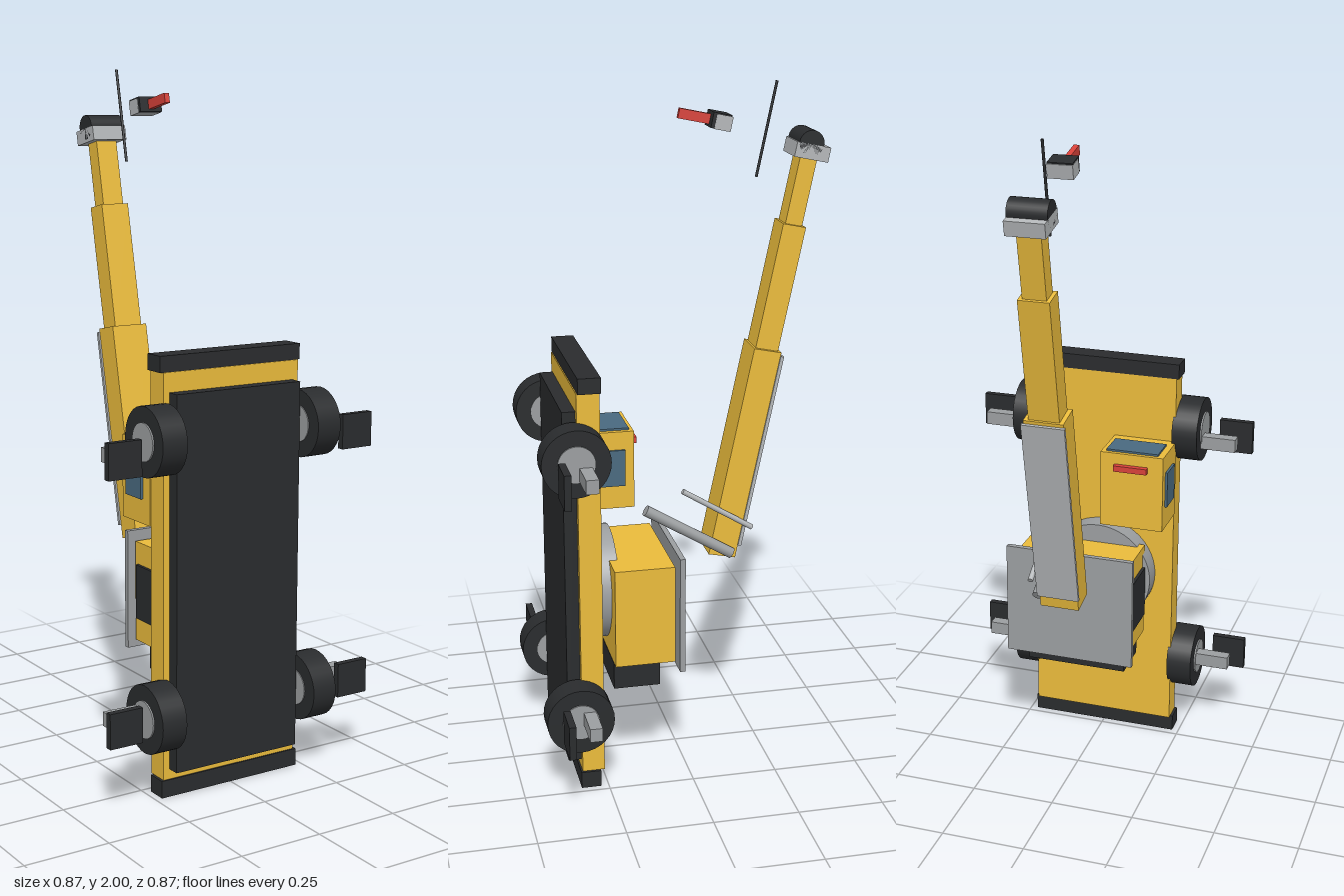
import * as THREE from 'three';

const mat = (color) => new THREE.MeshStandardMaterial({ color });
const yellow = mat(0xebbc3c), black = mat(0x2a2c2e), grey = mat(0x9c9fa1);
const steel = mat(0xb4b7b9), glass = mat(0x4a6a80), red = mat(0xd8423a);
const TILT = -0.208;

function add(parent, name, geometry, material, x = 0, y = 0, z = 0) {
  const mesh = new THREE.Mesh(geometry, material);
  mesh.name = name;
  mesh.position.set(x, y, z);
  parent.add(mesh);
  return mesh;
}

// box given by its limits on each axis
function box(parent, name, material, [x0, x1], [y0, y1], [z0, z1]) {
  return add(parent, name, new THREE.BoxGeometry(x1 - x0, y1 - y0, z1 - z0), material,
    (x0 + x1) / 2, (y0 + y1) / 2, (z0 + z1) / 2);
}

// cylinder lying along x
function drum(parent, name, material, r, length, x, y, z) {
  const g = new THREE.CylinderGeometry(r, r, length, 32).rotateZ(Math.PI / 2);
  return add(parent, name, g, material, x, y, z);
}

// straight round rod between two points
function rod(parent, name, material, r, a, b) {
  const from = new THREE.Vector3(...a), to = new THREE.Vector3(...b);
  const dir = to.clone().sub(from);
  const mesh = add(parent, name, new THREE.CylinderGeometry(r, r, dir.length(), 20), material);
  mesh.position.copy(from).add(to).multiplyScalar(0.5);
  mesh.quaternion.setFromUnitVectors(new THREE.Vector3(0, 1, 0), dir.normalize());
  return mesh;
}

// group leaning with the boom
function tilted(parent, name, y, z) {
  const group = new THREE.Group();
  group.name = name;
  group.position.set(0, y, z);
  group.rotation.x = TILT;
  parent.add(group);
  return group;
}

export function createModel() {
  const model = new THREE.Group();
  model.name = 'mobileCrane';

  // carrier, standing on end with its underside to +z
  box(model, 'deck', yellow, [-0.222, 0.222], [0.05, 1.2], [0.26, 0.325]);
  box(model, 'underframe', black, [-0.203, 0.203], [0.08, 1.145], [0.325, 0.363]);
  box(model, 'frontBumper', black, [-0.23, 0.23], [1.2, 1.245], [0.257, 0.322]);
  box(model, 'rearBumper', black, [-0.23, 0.23], [0, 0.05], [0.272, 0.33]);

  // wheels and outriggers
  for (const [wheelY, legY] of [[1.022, 0.993], [0.247, 0.257]]) {
    box(model, 'outriggerBeam', grey, [-0.398, 0.398], [legY - 0.02, legY + 0.02], [0.295, 0.331]);
    for (const s of [-1, 1]) {
      drum(model, 'tyre', black, 0.097, 0.077, s * 0.253, wheelY, 0.338);
      drum(model, 'hub', grey, 0.053, 0.084, s * 0.254, wheelY, 0.338);
      add(model, 'outriggerPad', new THREE.BoxGeometry(0.102, 0.1, 0.02), black, s * 0.382, legY, 0.385);
    }
  }

  // driver's cab
  box(model, 'cab', yellow, [-0.225, -0.032], [0.765, 1], [0.115, 0.26]);
  box(model, 'windscreen', glass, [-0.206, -0.047], [0.96, 1.006], [0.127, 0.219]);
  box(model, 'sideWindows', glass, [-0.232, -0.025], [0.835, 0.945], [0.142, 0.223]);
  box(model, 'lightBar', red, [-0.178, -0.076], [0.948, 0.966], [0.098, 0.117]);

  // slewing superstructure
  const ring = new THREE.CylinderGeometry(0.167, 0.167, 0.06, 48).rotateX(Math.PI / 2);
  add(model, 'turntable', ring, grey, 0, 0.555, 0.228);
  box(model, 'engineHousing', yellow, [-0.143, 0.215], [0.37, 0.665], [0.047, 0.222]);
  box(model, 'coverPlate', grey, [-0.163, 0.235], [0.345, 0.695], [0.021, 0.037]);
  box(model, 'sideGrille', black, [-0.152, -0.14], [0.44, 0.6], [0.063, 0.2]);
  box(model, 'counterweight', black, [-0.12, 0.19], [0.29, 0.37], [0.087, 0.223]);

  // lift cylinder
  rod(model, 'liftCylinder', grey, 0.016, [0.073, 0.79, 0.103], [0.073, 0.635, -0.155]);
  rod(model, 'liftRod', steel, 0.008, [0.073, 0.84, -0.007], [0.073, 0.712, -0.216]);

  // telescopic boom: half width, depth, start, end along its axis
  const boom = tilted(model, 'boom', 0.622, -0.13);
  [[0.058, 0.082, 0, 0.635], [0.045, 0.068, 0.6, 1.0], [0.034, 0.05, 0.96, 1.2]].forEach(([w, d, a, b], i) =>
    box(boom, `boomSection${i + 1}`, yellow, [-w, w], [a, b], [-d / 2, d / 2]));
  box(boom, 'boomBackPlate', steel, [-0.063, 0.063], [0.04, 0.625], [-0.05, -0.04]);

  // boom head with sheave
  const head = tilted(model, 'boomHead', 1.807, -0.381);
  box(head, 'headBlock', steel, [-0.056, 0.056], [-0.021, 0.021], [-0.05, 0.05]);
  drum(model, 'headSheave', black, 0.036, 0.112, 0, 1.832, -0.378);

  // hoist rope and hook
  rod(model, 'hoistRope', black, 0.004, [0, 2, -0.29], [0, 1.735, -0.234]);
  const hook = tilted(model, 'hookBlock', 1.895, -0.125);
  box(hook, 'hookCheek', steel, [-0.037, 0.037], [-0.022, 0.019], [-0.029, 0.018]);
  box(hook, 'hookCap', black, [-0.036, 0.036], [-0.021, 0.023], [-0.026, 0.028]);
  box(hook, 'hookShank', red, [-0.008, 0.008], [-0.014, 0.014], [0.028, 0.118]);
  return model;
}
